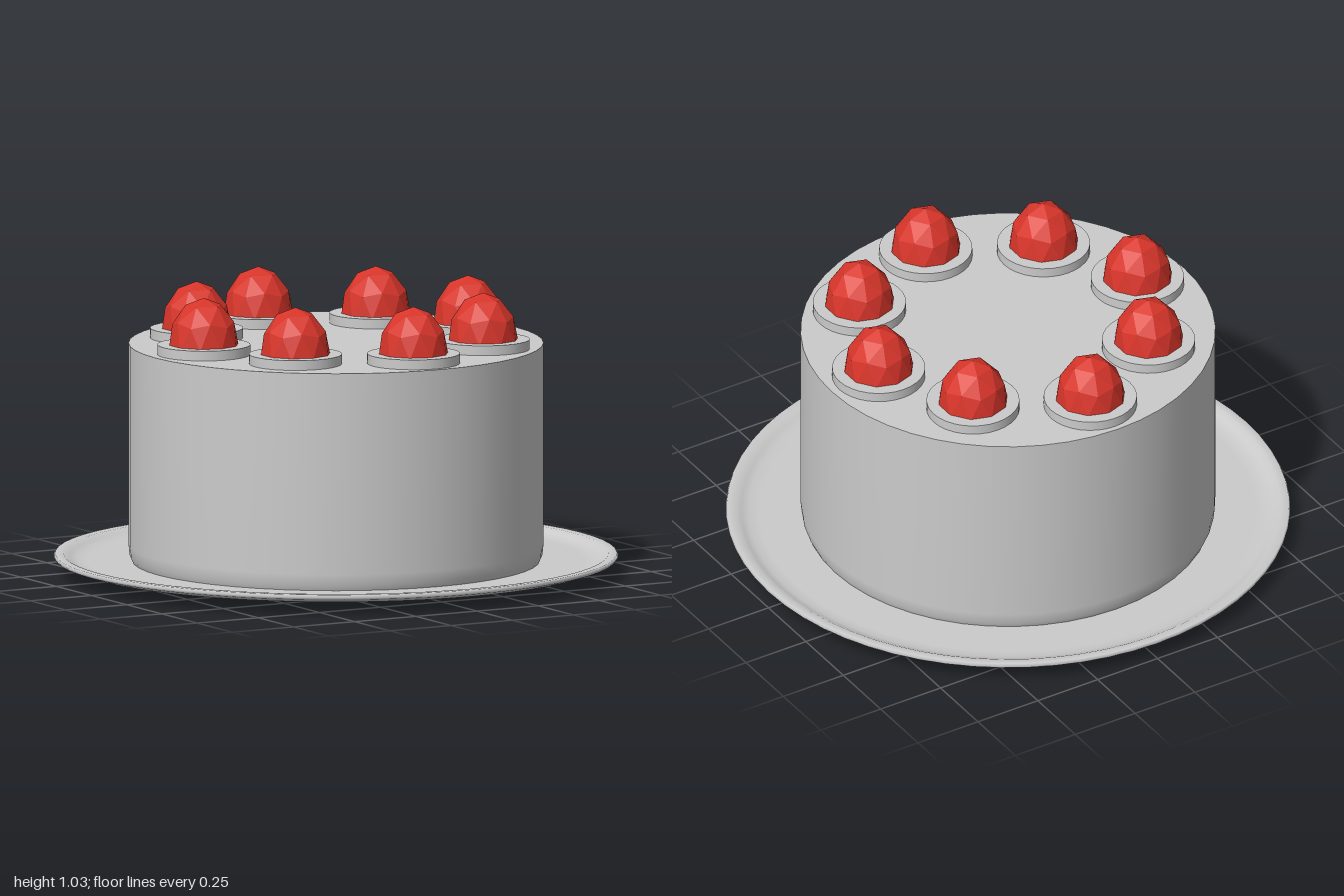
import * as THREE from 'three';

const grey = () => new THREE.MeshStandardMaterial({ color: 0xcccccc });

function lathe(name, points, segments) {
  const geometry = new THREE.LatheGeometry(points.map(([r, y]) => new THREE.Vector2(r, y)), segments);
  const mesh = new THREE.Mesh(geometry, grey());
  mesh.name = name;
  return mesh;
}

// Faceted berry: a subdivided icosahedron standing on one corner, with a flattened base
function berryGeometry() {
  const geometry = new THREE.IcosahedronGeometry(1, 1);
  const corner = new THREE.Vector3(0, (1 + Math.sqrt(5)) / 2, 1).normalize();
  // fall back on the nearest corner, whichever way the solid is oriented
  const p = geometry.attributes.position;
  const v = new THREE.Vector3();
  const original = new THREE.IcosahedronGeometry(1, 0).attributes.position;
  let best = -2;
  for (let i = 0; i < original.count; i++) {
    v.fromBufferAttribute(original, i);
    if (v.y > best) { best = v.y; corner.copy(v).normalize(); }
  }
  geometry.applyQuaternion(new THREE.Quaternion().setFromUnitVectors(corner, new THREE.Vector3(0, 1, 0)));
  for (let i = 0; i < p.count; i++) {
    const y = p.getY(i);
    p.setXYZ(i, p.getX(i) * 0.126, y * (y > 0 ? 0.175 : 0.05), p.getZ(i) * 0.126);
  }
  geometry.computeVertexNormals();
  return geometry;
}

export function createModel() {
  const group = new THREE.Group();

  // Shallow dished plate with a raised rim
  group.add(lathe('plate', [
    [0, 0], [0.3, 0.006], [0.6, 0.015], [0.85, 0.03], [0.95, 0.045], [0.995, 0.06],
    [1, 0.068], [0.995, 0.077], [0.965, 0.076], [0.945, 0.064], [0.92, 0.054], [0.88, 0.051], [0, 0.05],
  ], 64));

  // Cake body, slightly tucked in where it meets the plate, with a crisp flat top
  group.add(lathe('cakeSide', [[0.72, 0.045], [0.731, 0.07], [0.735, 0.11], [0.735, 0.83]], 48));
  const top = new THREE.Mesh(new THREE.CircleGeometry(0.735, 48).rotateX(-Math.PI / 2), grey());
  top.name = 'cakeTop';
  top.position.y = 0.83;
  group.add(top);

  // Ring of cream discs, each carrying a berry
  const spots = [
    [0.54, 0], [0.365, -0.35], [0, -0.55], [-0.365, -0.355],
    [-0.54, 0], [-0.37, 0.355], [0, 0.55], [0.38, 0.385],
  ];
  const disc = new THREE.CylinderGeometry(0.165, 0.165, 0.035, 32);
  const berry = berryGeometry();
  const red = new THREE.MeshStandardMaterial({ color: 0xd8352a, flatShading: true });
  spots.forEach(([x, z]) => {
    const topping = new THREE.Group();
    topping.name = 'topping';
    topping.position.set(x, 0, z);
    const cream = new THREE.Mesh(disc, grey());
    cream.name = 'creamDisc';
    cream.position.y = 0.8475;
    const fruit = new THREE.Mesh(berry, red);
    fruit.name = 'strawberry';
    fruit.position.y = 0.856;
    topping.add(cream, fruit);
    group.add(topping);
  });

  return group;
}
